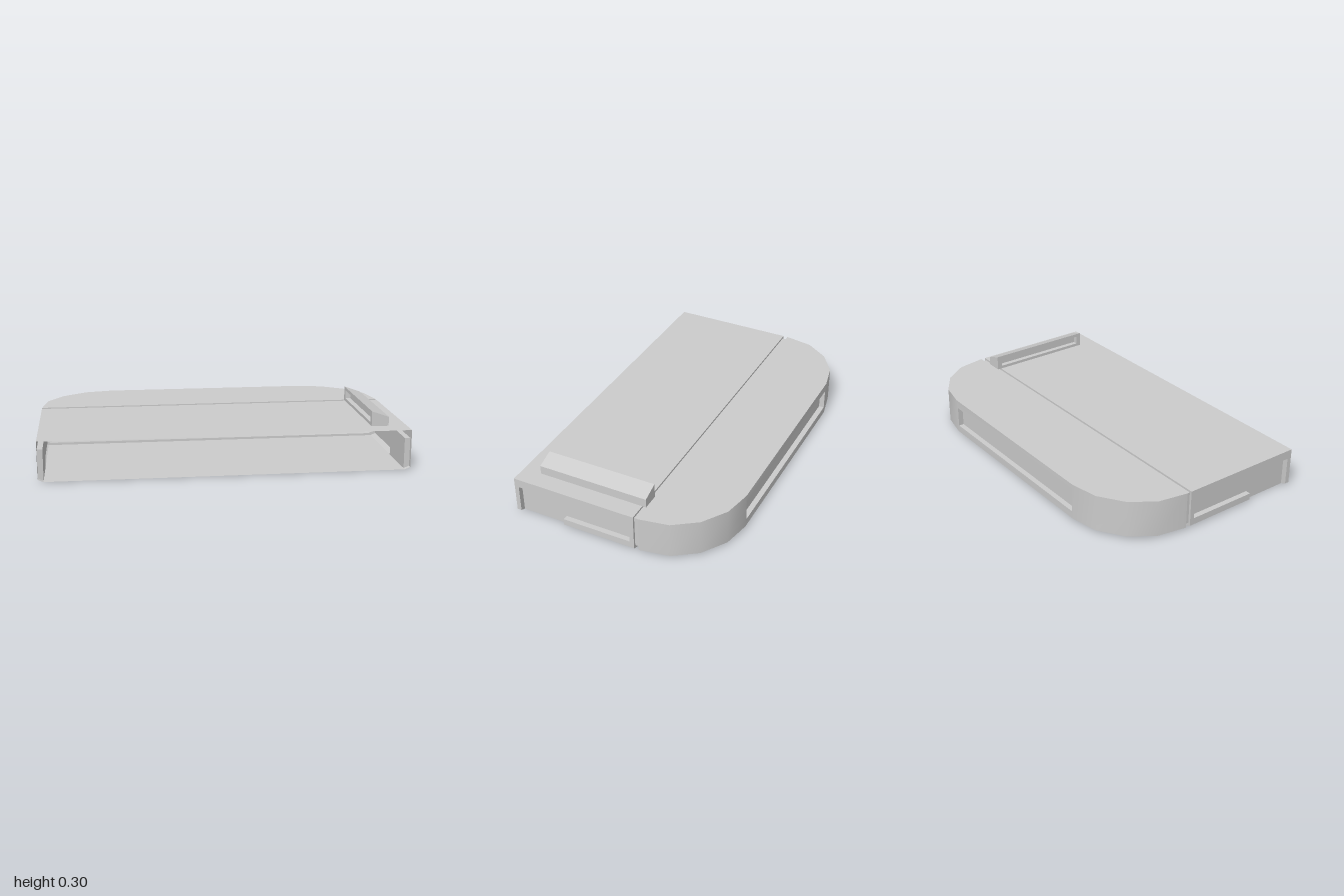
import * as THREE from 'three';
import { toCreasedNormals } from 'three/addons/utils/BufferGeometryUtils.js';

const material = new THREE.MeshStandardMaterial({ color: 0xcccccc, side: THREE.DoubleSide });

// Fan of triangles over a convex polygon
function fan(p) {
  const out = [];
  for (let i = 1; i < p.length - 1; i++) out.push(p[0], p[i], p[i + 1]);
  return out;
}

// Sheet between two polylines with the same number of points
function strip(a, b) {
  const out = [];
  for (let i = 0; i < a.length - 1; i++) out.push(...fan([a[i], a[i + 1], b[i + 1], b[i]]));
  return out;
}

// Rectangular face with a sunken rectangular pocket
function pocket(outer, inner, [dx, dy, dz]) {
  const sunk = inner.map(([x, y, z]) => [x + dx, y + dy, z + dz]);
  const loop = (p) => [...p, p[0]];
  return [...strip(loop(outer), loop(inner)), ...strip(loop(inner), loop(sunk)), ...fan(sunk)];
}

function part(name, points) {
  const geometry = new THREE.BufferGeometry();
  geometry.setAttribute('position', new THREE.Float32BufferAttribute(points.flat(), 3));
  const mesh = new THREE.Mesh(toCreasedNormals(geometry, 0.6), material);
  mesh.name = name;
  return mesh;
}

// Closed body cross-section with chamfered lower edges
function section(w, floorW, y0, y1, y2, z) {
  const half = [[floorW, y0], [w, y1], [w, y2]];
  const other = half.map(([x, y]) => [-x, y]).reverse();
  return [...half, ...other, half[0]].map(([x, y]) => [x, y, z]);
}

const TOP = 0.22, CHAMFER = 0.013, FRONT = 0.58, SEAM = -0.138, REAR = -0.165;

export function createModel() {
  const group = new THREE.Group();

  // Roof and floor of the open-fronted sleeve
  group.add(part('sleeveRoof', fan([[-1, TOP, FRONT], [1, TOP, FRONT], [1, TOP, SEAM], [-1, TOP, SEAM]])));
  group.add(part('sleeveFloor', fan([[-0.97, 0, SEAM], [0.97, 0, SEAM], [0.97, 0, FRONT], [-0.97, 0, FRONT]])));

  // Side wall: rail, posts, ledge and the sunken panel behind them
  const face = (z0, z1, y0, y1, x = 1) => fan([[x, y0, z1], [x, y0, z0], [x, y1, z0], [x, y1, z1]]);
  const bevel = (z0, z1) => fan([[0.97, 0, z1], [0.97, 0, z0], [1, CHAMFER, z0], [1, CHAMFER, z1]]);
  const notch = [[0, 0.555], [0.17, 0.555], [0.17, -0.112], [0.05, -0.112], [0.05, 0.285], [0, 0.285]];
  const side = [
    ...face(SEAM, FRONT, 0.17, TOP),
    ...face(0.555, FRONT, CHAMFER, 0.17),
    ...face(SEAM, -0.112, 0.05, 0.17),
    ...face(SEAM, 0.285, CHAMFER, 0.05),
    ...bevel(0.555, FRONT), ...bevel(SEAM, 0.285),
    ...face(-0.112, 0.555, 0.05, 0.17, 0.97),
    ...face(0.285, 0.555, 0, 0.05, 0.97),
    ...strip(notch.map(([y, z]) => [0.97, y, z]), notch.map(([y, z]) => [1, Math.max(y, CHAMFER), z])),
  ];
  for (const s of [1, -1]) {
    const wall = part(s > 0 ? 'leftSideWall' : 'rightSideWall', side);
    wall.scale.x = s;
    group.add(wall);
  }

  // Narrow groove joining the sleeve to the rounded rear
  const rings = [
    section(1, 0.97, 0, CHAMFER, TOP, REAR),
    section(0.987, 0.957, 0.013, 0.026, 0.209, REAR),
    section(0.987, 0.957, 0.013, 0.026, 0.209, SEAM),
    section(1, 0.97, 0, CHAMFER, TOP, SEAM),
  ];
  group.add(part('seamGroove', [0, 1, 2].flatMap((i) => strip(rings[i], rings[i + 1]))));

  // Rounded rear: wall outline and the smaller floor outline under it
  const mirror = (p) => [...p, ...p.map(([x, z]) => [-x, z]).reverse()];
  const outline = mirror([[1, REAR], [0.97, -0.33], [0.88, -0.46], [0.745, -0.55], [0.59, -0.582]]);
  const base = mirror([[0.97, REAR], [0.935, -0.29], [0.85, -0.395], [0.72, -0.465], [0.575, -0.49]]);
  const at = (p, y) => p.map(([x, z]) => [x, y, z]);
  const low = at(outline, CHAMFER), high = at(outline, TOP), floor = at(base, 0);
  const rect = (x, y0, y1, z) => [[x, y0, z], [-x, y0, z], [-x, y1, z], [x, y1, z]];
  group.add(part('rearWall', [
    ...strip(low.slice(0, 5), high.slice(0, 5)),
    ...strip(low.slice(5), high.slice(5)),
    ...pocket(rect(0.59, CHAMFER, TOP, -0.582), rect(0.58, 0.055, 0.172, -0.582), [0, 0, 0.03]),
  ]));
  group.add(part('rearRoof', fan(high)));
  group.add(part('rearChamfer', strip(floor, low)));
  group.add(part('rearFloor', fan([...floor].reverse())));

  // Sloped bar on the roof with a slot in its inner face
  const profile = [[0.805, TOP], [0.9, TOP], [0.9, 0.27], [0.805, 0.303]];
  const back = profile.map(([x, y]) => [x, y, -0.16]);
  const front = profile.map(([x, y]) => [x, y, 0.475]);
  const inner = (z0, z1, y0, y1) => [[0.805, y0, z0], [0.805, y0, z1], [0.805, y1, z1], [0.805, y1, z0]];
  group.add(part('roofBar', [
    ...strip(back, front), ...fan(front), ...fan([...back].reverse()),
    ...pocket(inner(-0.16, 0.475, TOP, 0.303), inner(-0.13, 0.445, 0.237, 0.285), [0.03, 0, 0]),
  ]));

  return group;
}
